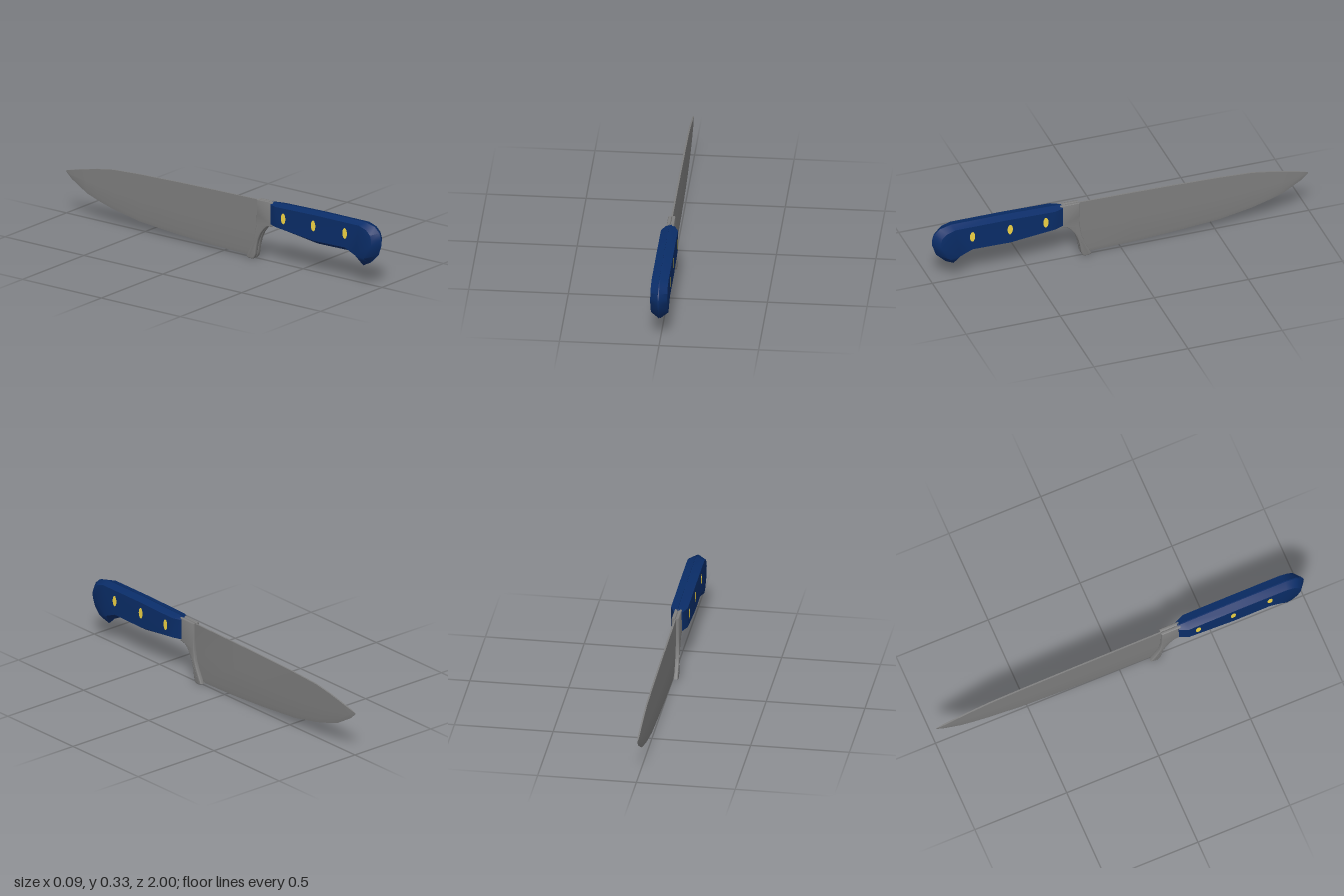
import * as THREE from 'three';
import { toCreasedNormals } from 'three/addons/utils/BufferGeometryUtils.js';

const CX = -0.0045; // mid plane of the knife
const steel = new THREE.MeshStandardMaterial({ color: 0x7e7e7e });
const blue = new THREE.MeshStandardMaterial({ color: 0x0a2d68 });
const gold = new THREE.MeshStandardMaterial({ color: 0xf2d444 });

// Outline of [z, y] points extruded sideways from x0 to x1, with a bevel inside the outline
function slab(points, x0, x1, bevel) {
  const shape = new THREE.Shape(points.map(([z, y]) => new THREE.Vector2(-z, y)));
  const geo = new THREE.ExtrudeGeometry(shape, {
    depth: x1 - x0 - 2 * bevel, bevelEnabled: bevel > 0, bevelThickness: bevel,
    bevelSize: bevel, bevelOffset: -bevel, bevelSegments: 3,
  });
  geo.translate(0, 0, x0 + bevel);
  return geo.rotateY(Math.PI / 2);
}

function indexed(positions, index, crease) {
  const geo = new THREE.BufferGeometry();
  geo.setAttribute('position', new THREE.Float32BufferAttribute(positions, 3));
  geo.setIndex(index);
  return toCreasedNormals(geo, crease);
}

// Handle: rim outline at the mid plane, and matching inset outline of the flat side
const rim = [
  [0.313, 0.319], [0.36, 0.321], [0.62, 0.327], [0.9, 0.327], [0.96, 0.312], [0.99, 0.285],
  [1, 0.25], [0.998, 0.22], [0.98, 0.166], [0.93, 0.118], [0.887, 0.097], [0.855, 0.13],
  [0.8, 0.158], [0.6, 0.155], [0.41, 0.18], [0.36, 0.187], [0.313, 0.193],
];
const inset = [
  [0.313, 0.308], [0.36, 0.31], [0.62, 0.315], [0.89, 0.315], [0.935, 0.3], [0.96, 0.276],
  [0.969, 0.25], [0.967, 0.222], [0.95, 0.18], [0.92, 0.147], [0.89, 0.135], [0.865, 0.155],
  [0.8, 0.183], [0.6, 0.18], [0.41, 0.2], [0.36, 0.205], [0.313, 0.205],
];
const toShape = (points) => points.map(([z, y]) => new THREE.Vector2(-z, y));

function handleScale(side) {
  const n = rim.length, pos = [], index = [];
  const tri = (a, b, c) => (side > 0 ? index.push(a, b, c) : index.push(a, c, b));
  rim.forEach(([z, y]) => pos.push(side * 0.003, y, z));
  inset.forEach(([z, y], i) => pos.push(side * (i === 0 || i === n - 1 ? 0.022 : 0.0425), y, z));
  // chamfer between the rim and the flat side
  for (let i = 0; i < n; i++) {
    const j = (i + 1) % n;
    tri(i, j, n + j);
    tri(i, n + j, n + i);
  }
  // narrowing front end, flat side, and inner face against the tang
  tri(n, n + 1, 2 * n - 2);
  tri(n, 2 * n - 2, 2 * n - 1);
  THREE.ShapeUtils.triangulateShape(toShape(inset.slice(1, n - 1)), [])
    .forEach(([a, b, c]) => tri(n + 1 + a, n + 1 + b, n + 1 + c));
  THREE.ShapeUtils.triangulateShape(toShape(rim), []).forEach(([a, b, c]) => tri(a, c, b));
  return indexed(pos, index, 0.95);
}

// Blade: stations of [z, spine height, edge height], each a thin wedge section
function bladeGeometry() {
  const stations = [
    [0.23, 0.312, 0.01], [-0.07, 0.308, 0.016], [-0.287, 0.304, 0.028], [-0.53, 0.297, 0.048],
    [-0.7, 0.288, 0.08], [-0.8, 0.272, 0.108], [-0.866, 0.258, 0.131], [-0.963, 0.236, 0.188],
    [-0.998, 0.226, 0.22],
  ];
  const pos = [], index = [], k = 7;
  stations.forEach(([z, top, low], s) => {
    const h = top - low;
    const zLow = s === 0 ? 0.185 : z; // the heel leans forward towards the edge
    const bevel = low + Math.min(0.02, h * 0.3);
    const t = Math.min(1, h / 0.05);
    pos.push(
      0.004 * t, top, z, 0.0035 * t, (top + low) / 2, z, 0.003 * t, bevel, zLow,
      0, low, zLow,
      -0.003 * t, bevel, zLow, -0.0035 * t, (top + low) / 2, z, -0.004 * t, top, z,
    );
  });
  for (let s = 0; s < stations.length - 1; s++) {
    for (let i = 0; i < k; i++) {
      const a = s * k + i, b = s * k + ((i + 1) % k);
      index.push(a, b, a + k, b, b + k, a + k);
    }
  }
  for (let i = 1; i < k - 1; i++) {
    const e = (stations.length - 1) * k;
    index.push(0, i + 1, i, e, e + i, e + i + 1);
  }
  return indexed(pos, index, 0.5);
}

// Bolster half: one curved piece from the handle down to the heel, slimmer at the top
function bolsterHalf(side) {
  const outline = [
    [0.325, 0.318], [0.222, 0.316], [0.222, 0.24], [0.22, 0.18], [0.21, 0.12], [0.195, 0.08],
    [0.175, 0.04], [0.16, 0.008], [0.175, 0.001], [0.2, 0.001], [0.209, 0.01], [0.216, 0.03],
    [0.222, 0.07], [0.233, 0.11], [0.25, 0.145], [0.27, 0.17], [0.29, 0.186], [0.325, 0.194],
  ];
  const geo = slab(outline, side > 0 ? 0 : -0.023, side > 0 ? 0.023 : 0, 0.005);
  const p = geo.attributes.position;
  for (let i = 0; i < p.count; i++) {
    p.setX(i, p.getX(i) * (1 - 0.2 * THREE.MathUtils.smoothstep(p.getY(i), 0.1, 0.25)));
  }
  return toCreasedNormals(geo, 0.7);
}

export function createModel() {
  const model = new THREE.Group();
  const knife = new THREE.Group();
  knife.name = 'knife';
  knife.position.x = CX;
  model.add(knife);
  const add = (name, geo, mat) => {
    const mesh = new THREE.Mesh(geo, mat);
    mesh.name = name;
    knife.add(mesh);
    return mesh;
  };

  add('blade', bladeGeometry(), steel);

  for (const side of [1, -1]) {
    const label = side > 0 ? 'left' : 'right';
    add(label + 'Bolster', bolsterHalf(side), steel);
    add(label + 'HandleScale', handleScale(side), blue);

    // Oval rivets, almost flush with the handle side
    [0.8, 0.6, 0.41].forEach((z, i) => {
      const geo = new THREE.CylinderGeometry(1, 1, 0.006, 24);
      geo.rotateZ(Math.PI / 2);
      geo.scale(1, 0.028, 0.014);
      add(label + 'Rivet' + (i + 1), geo, gold).position.set(side * 0.0401, 0.257, z);
    });
  }

  // Tang: fills the seam between the scales, slightly sunk
  const tang = rim.map(([z, y]) => [0.65 + (z - 0.65) * 0.992, 0.24 + (y - 0.24) * 0.975]);
  add('tang', toCreasedNormals(slab(tang, -0.003, 0.003, 0), 0.6), blue);

  return model;
}
